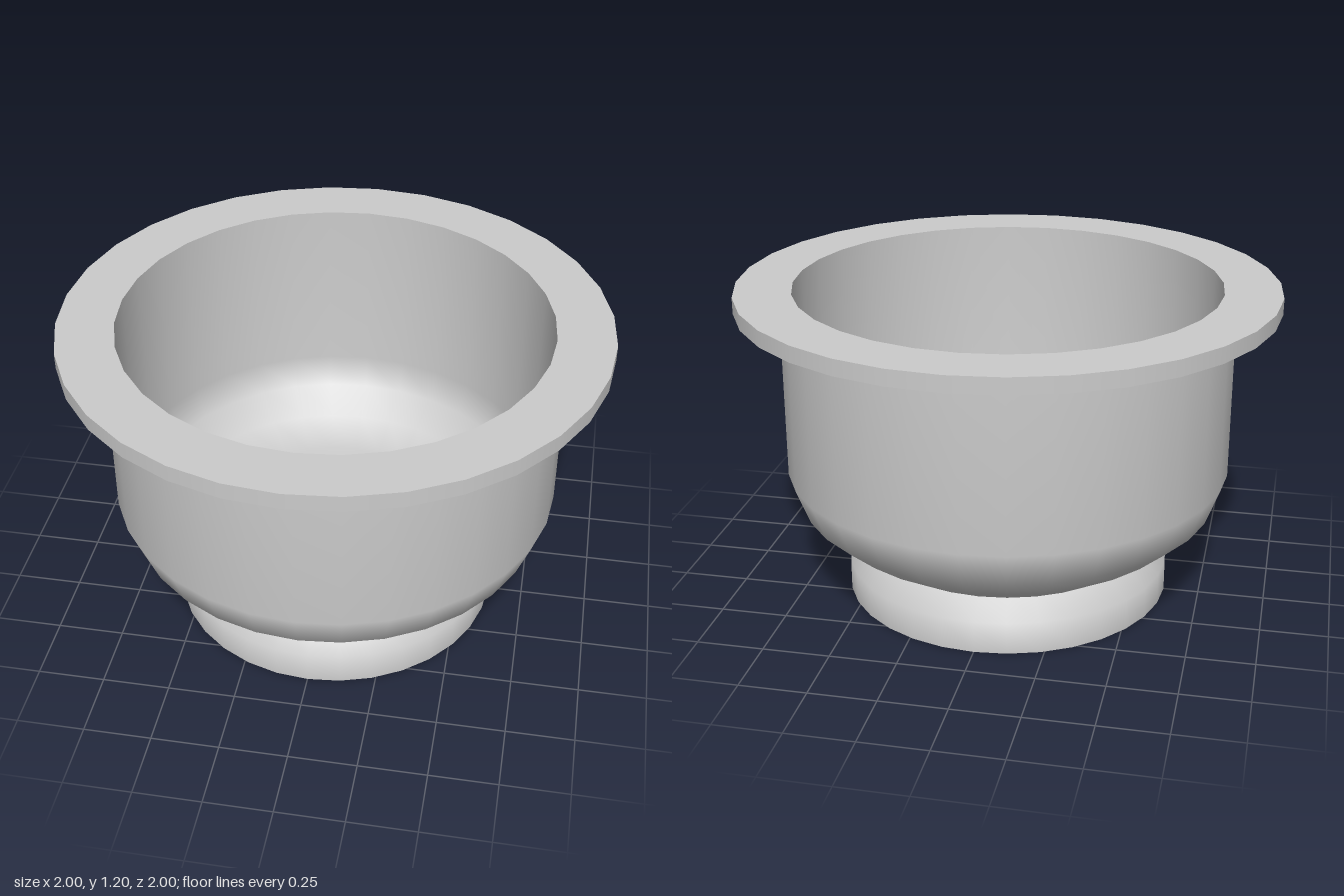
import * as THREE from 'three';

const SIDES = 32;

// Each profile is one smooth band of the turned form; seams between bands stay sharp.
function turned(name, material, ...profiles) {
  const part = new THREE.Group();
  part.name = name;
  profiles.forEach((profile, i) => {
    const points = profile.map(([r, y]) => new THREE.Vector2(r, y));
    const mesh = new THREE.Mesh(new THREE.LatheGeometry(points, SIDES), material);
    mesh.name = `${name}Band${i + 1}`;
    part.add(mesh);
  });
  return part;
}

export function createModel() {
  const model = new THREE.Group();
  model.name = 'flangedCup';
  const grey = new THREE.MeshStandardMaterial({ color: 0xcccccc });

  // Solid foot: flat underside, short wall and bevel up to the neck
  model.add(turned('foot', grey,
    [[0, 0], [0.617, 0]],
    [[0.617, 0], [0.617, 0.12], [0.53, 0.18]]));

  // Rounded outer bowl with straight upper wall
  model.add(turned('outerBowl', grey,
    [[0.53, 0.18], [0.675, 0.27], [0.785, 0.365], [0.836, 0.5], [0.836, 1.14]]));

  // Wide flat rim: underside, edge, top
  model.add(turned('rim', grey,
    [[0.836, 1.14], [1, 1.14]],
    [[1, 1.14], [1, 1.2]],
    [[1, 1.2], [0.79, 1.2]]));

  // Hollow inside, following the outer wall down to the floor
  model.add(turned('innerBowl', grey,
    [[0.79, 1.2], [0.79, 0.51], [0.745, 0.395], [0.645, 0.305], [0.51, 0.23], [0, 0.22]]));

  return model;
}
